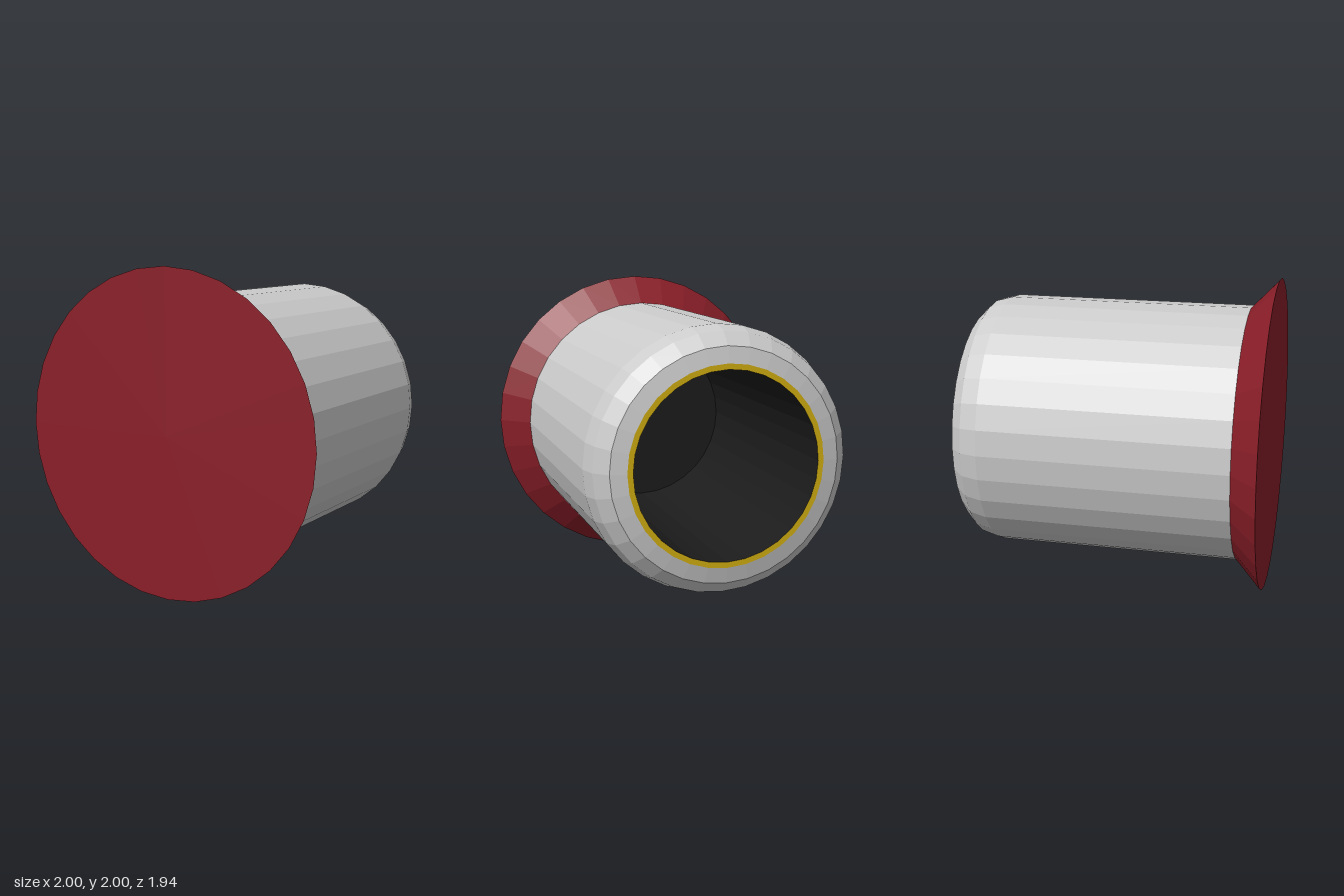
import * as THREE from 'three';

const SIDES = 32;

// Revolve [radius, depth] pairs; depth runs from the front (-) to the back (+)
function revolve(name, profile, color) {
  const points = profile.map(([r, d]) => new THREE.Vector2(r, d));
  const geometry = new THREE.LatheGeometry(points, SIDES);
  geometry.rotateX(-Math.PI / 2);
  const material = new THREE.MeshStandardMaterial({ color, flatShading: true });
  const mesh = new THREE.Mesh(geometry, material);
  mesh.name = name;
  mesh.position.y = 1;
  return mesh;
}

export function createModel() {
  const group = new THREE.Group();
  group.name = 'flangedBarrel';

  group.add(
    // closed front disc with its tapered rim
    revolve('flange', [[0, -0.97], [1, -0.97], [0.82, -0.8]], 0x8a1e28),
    // straight barrel with a rounded back shoulder
    revolve('barrel', [
      [0.82, -0.8], [0.82, 0.76], [0.79, 0.87], [0.71, 0.95], [0.61, 0.97],
    ], 0xcccccc),
    // thin band around the mouth
    revolve('mouthRing', [[0.61, 0.97], [0.575, 0.97]], 0xd4b010),
    // dark hollow inside, closed behind the flange
    revolve('bore', [[0.575, 0.97], [0.575, -0.8], [0, -0.8]], 0x1c1c1c),
  );
  return group;
}
